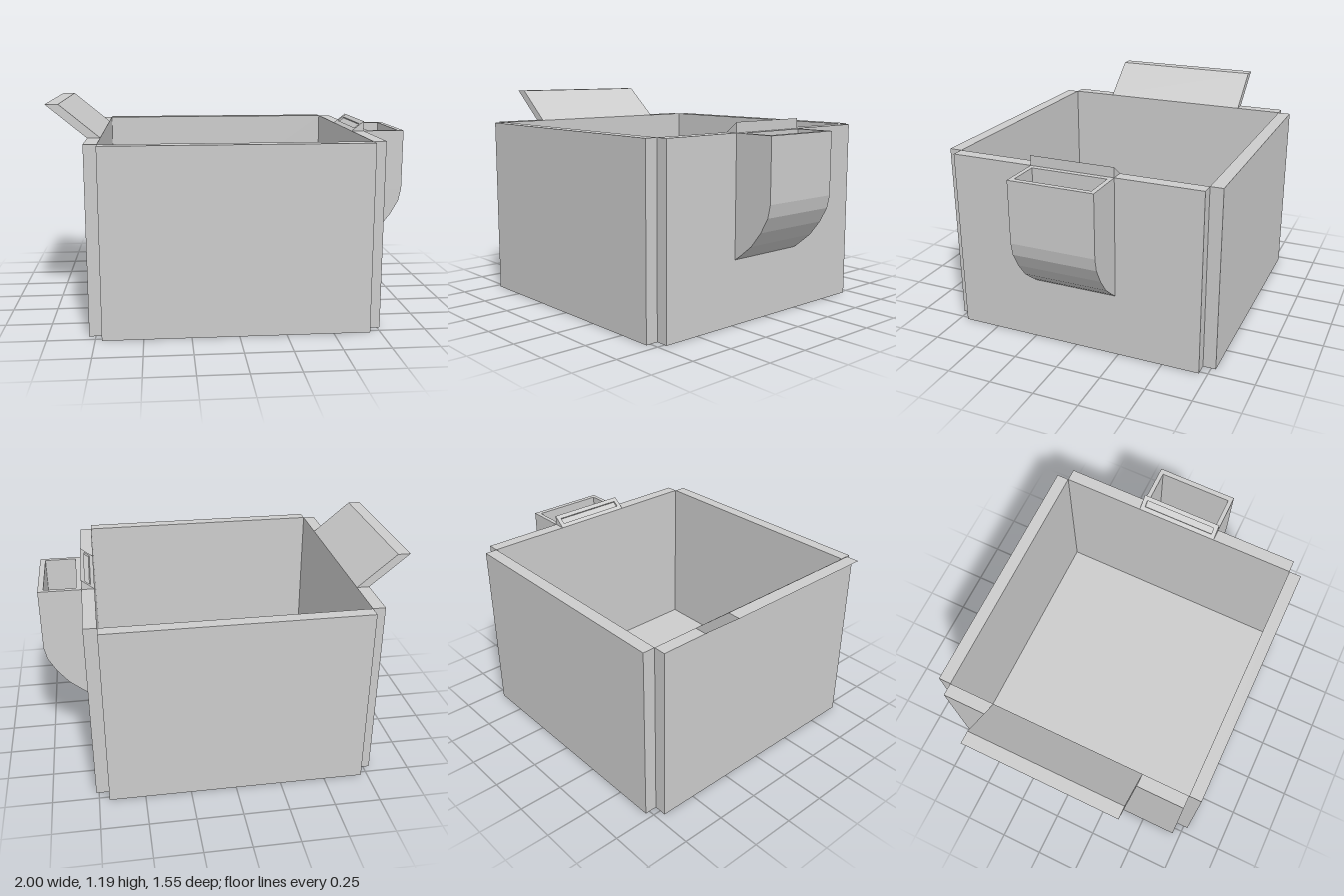
import * as THREE from 'three';

const material = new THREE.MeshStandardMaterial({ color: 0xcccccc, flatShading: true });

export function createModel() {
  const model = new THREE.Group();

  const add = (name, geometry) => {
    const mesh = new THREE.Mesh(geometry, material);
    mesh.name = name;
    model.add(mesh);
    return mesh;
  };

  // Box given by its limits on each axis
  const box = (name, x0, x1, y0, y1, z0, z1) =>
    add(name, new THREE.BoxGeometry(x1 - x0, y1 - y0, z1 - z0))
      .position.set((x0 + x1) / 2, (y0 + y1) / 2, (z0 + z1) / 2);

  // Side profile in x and y, swept from z0 to z1
  const sweep = (name, points, z0, z1) => {
    const shape = new THREE.Shape(points.map(([x, y]) => new THREE.Vector2(x, y)));
    const geometry = new THREE.ExtrudeGeometry(shape, { depth: z1 - z0, bevelEnabled: false });
    add(name, geometry.translate(0, 0, z0));
  };

  const top = 1.01, x0 = -0.715, x1 = 0.695, inner = 0.705, t = 0.07;

  // Open bin: floor and four walls that meet only at their inner corners
  box('floor', x0, x1, 0, t, -inner, inner);
  box('frontWall', x0, x1, 0, top, inner, inner + t);
  box('backWall', x0, x1, 0, top, -inner - t, -inner);
  box('rightWall', x0 - t, x0, 0, top, -inner, inner);
  box('leftWall', x1, x1 + t, 0, top, -inner, inner);

  // Slanted flap leaning outward from the wall rim
  sweep('slantedFlap', [[x0 - t, top], [x0, top], [-0.93, 1.19], [-1, 1.19]], -0.44, 0.44);

  // Wedge on the opposite rim, with a shallow recess in its slope
  const w = 0.235, wi = 0.21;
  const wedge = [[x1, top], [x1 + t, top], [x1 + t, 1.065]];
  const recessed = [...wedge, [0.745, 1.049], [0.751, 1.041], [0.721, 1.018], [0.715, 1.026]];
  sweep('wedgeEnd', wedge, wi, w);
  sweep('wedgeEnd', wedge, -w, -wi);
  sweep('wedgeMiddle', recessed, -wi, wi);

  // Pocket: curved solid base below an open rectangular rim
  const px = x1 + t, base = 0.67;
  sweep('pocketBase', [
    [px, base], [px, 0.352], [0.8, 0.377], [0.877, 0.44],
    [0.94, 0.52], [0.985, 0.6], [1, base],
  ], -w, w);
  const rim = new THREE.Shape([[px, -w], [1, -w], [1, w], [px, w]].map(p => new THREE.Vector2(...p)));
  rim.holes.push(new THREE.Path(
    [[0.795, -wi], [0.795, wi], [0.97, wi], [0.97, -wi]].map(p => new THREE.Vector2(...p))));
  const rimGeometry = new THREE.ExtrudeGeometry(rim, { depth: top - base, bevelEnabled: false });
  add('pocketWalls', rimGeometry.rotateX(-Math.PI / 2).translate(0, base, 0));

  return model;
}
